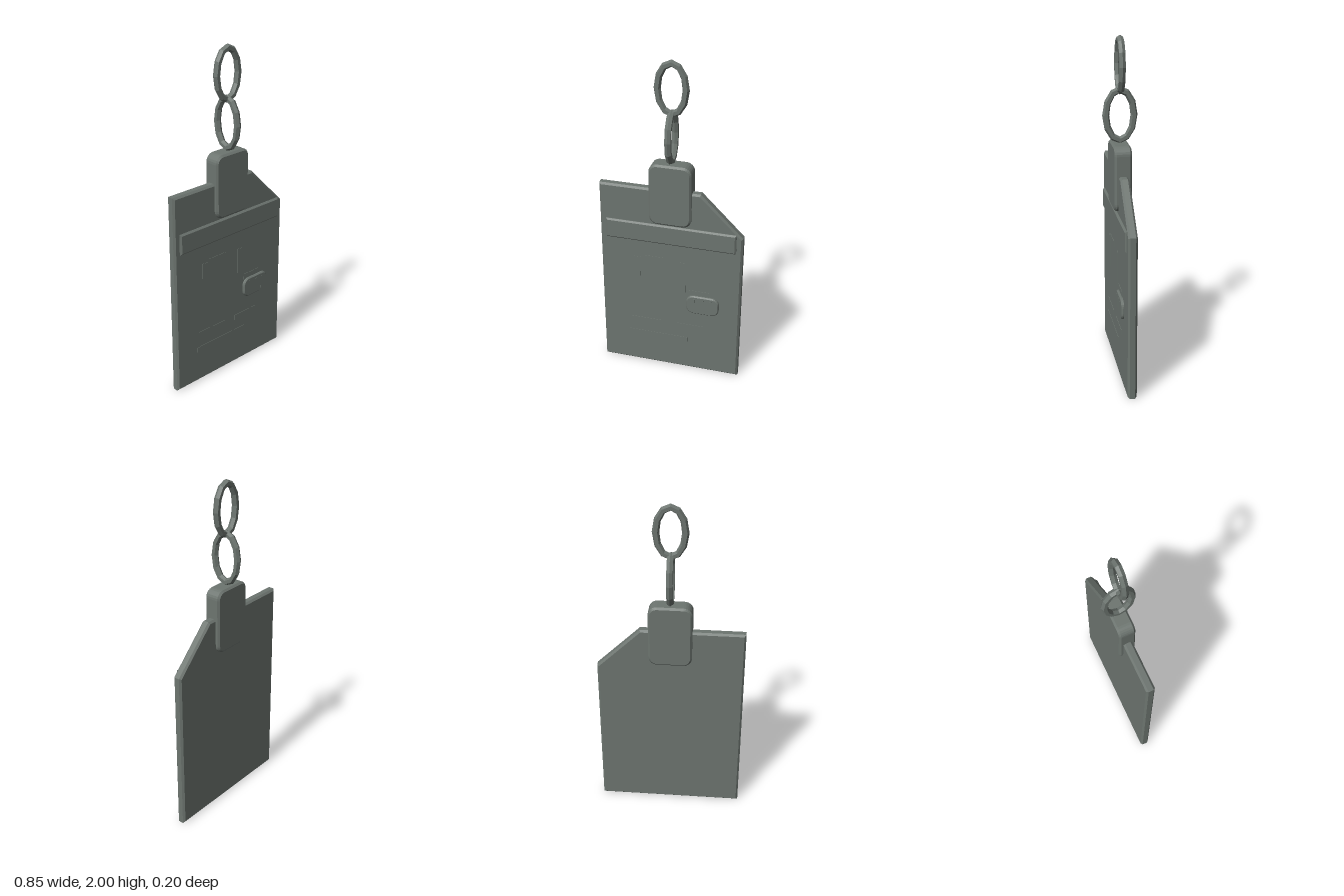
import * as THREE from 'three';

export function createModel() {
  const model = new THREE.Group();
  model.name = 'keyCard';
  const steel = new THREE.MeshStandardMaterial({ color: 0x6d7570, flatShading: true });
  steel.name = 'greySteel';

  const add = (name, geometry) => {
    const mesh = new THREE.Mesh(geometry, steel);
    mesh.name = name;
    model.add(mesh);
    return mesh;
  };

  // Extruded outline between two depths, with a chamfer kept inside the outline
  const slab = (name, shape, z0, z1, bevel) => {
    const g = new THREE.ExtrudeGeometry(shape, {
      depth: z1 - z0 - 2 * bevel, bevelEnabled: true, bevelThickness: bevel,
      bevelSize: bevel, bevelOffset: -bevel, bevelSegments: 1, curveSegments: 3,
    });
    g.translate(0, 0, z0 + bevel);
    return add(name, g);
  };

  const roundedRect = (x0, x1, y0, y1, r) => {
    const s = new THREE.Shape();
    s.absarc(x1 - r, y0 + r, r, -Math.PI / 2, 0);
    s.absarc(x1 - r, y1 - r, r, 0, Math.PI / 2);
    s.absarc(x0 + r, y1 - r, r, Math.PI / 2, Math.PI);
    s.absarc(x0 + r, y0 + r, r, Math.PI, Math.PI * 1.5);
    s.closePath();
    return s;
  };

  const rect = (x0, x1, y0, y1) => new THREE.Shape(
    [[x0, y0], [x1, y0], [x1, y1], [x0, y1]].map(p => new THREE.Vector2(...p)));

  // Flat raised detail from its edges
  const plate = (name, x0, x1, y0, y1, z0, z1) => {
    const g = new THREE.BoxGeometry(x1 - x0, y1 - y0, z1 - z0);
    g.translate((x0 + x1) / 2, (y0 + y1) / 2, (z0 + z1) / 2);
    return add(name, g);
  };

  // Card body with one cut corner
  const card = new THREE.Shape([
    [-0.427, 0], [0.427, 0], [0.427, 0.985], [0.175, 1.235], [-0.427, 1.235],
  ].map(p => new THREE.Vector2(...p)));
  slab('cardBody', card, -0.028, 0.025, 0.011);

  // Raised strip, clip and button
  slab('headerStrip', rect(-0.39, 0.39, 0.885, 1.01), 0.015, 0.037, 0.009);
  slab('clip', roundedRect(-0.125, 0.125, 1.02, 1.4, 0.05), -0.051, 0.047, 0.011);
  slab('button', roundedRect(0.1, 0.3, 0.43, 0.555, 0.045), 0.015, 0.04, 0.007);

  // Thin ridges on the button
  for (const x of [0.148, 0.2, 0.252]) {
    plate('buttonRidge', x - 0.007, x + 0.007, 0.45, 0.534, 0.035, 0.042);
  }

  // Thin markings on the card face: x0, x1, y0, y1
  const marks = [
    [-0.222, -0.185, 0.566, 0.772], [-0.169, -0.037, 0.751, 0.788],
    [0.058, 0.095, 0.566, 0.772], [0.111, 0.238, 0.55, 0.587],
    [-0.254, -0.053, 0.3, 0.333], [0.032, 0.212, 0.3, 0.333],
    [-0.27, 0.111, 0.2, 0.233],
  ];
  for (const m of marks) plate('faceMarking', ...m, 0.02, 0.027);

  // Oval chain links: tube of six sides swept round a stretched ring
  const link = (name, y, turn) => {
    const g = new THREE.TorusGeometry(0.08, 0.02, 6, 12);
    const p = g.attributes.position;
    for (let i = 0; i < p.count; i++) {
      const a = Math.atan2(p.getY(i), p.getX(i));
      p.setY(i, p.getY(i) + 0.063 * Math.sin(a));
    }
    g.computeVertexNormals();
    g.rotateY(turn);
    g.translate(0, y, -0.002);
    add(name, g);
  };
  link('upperLink', 1.837, 0);
  link('lowerLink', 1.558, Math.PI / 2);

  return model;
}
